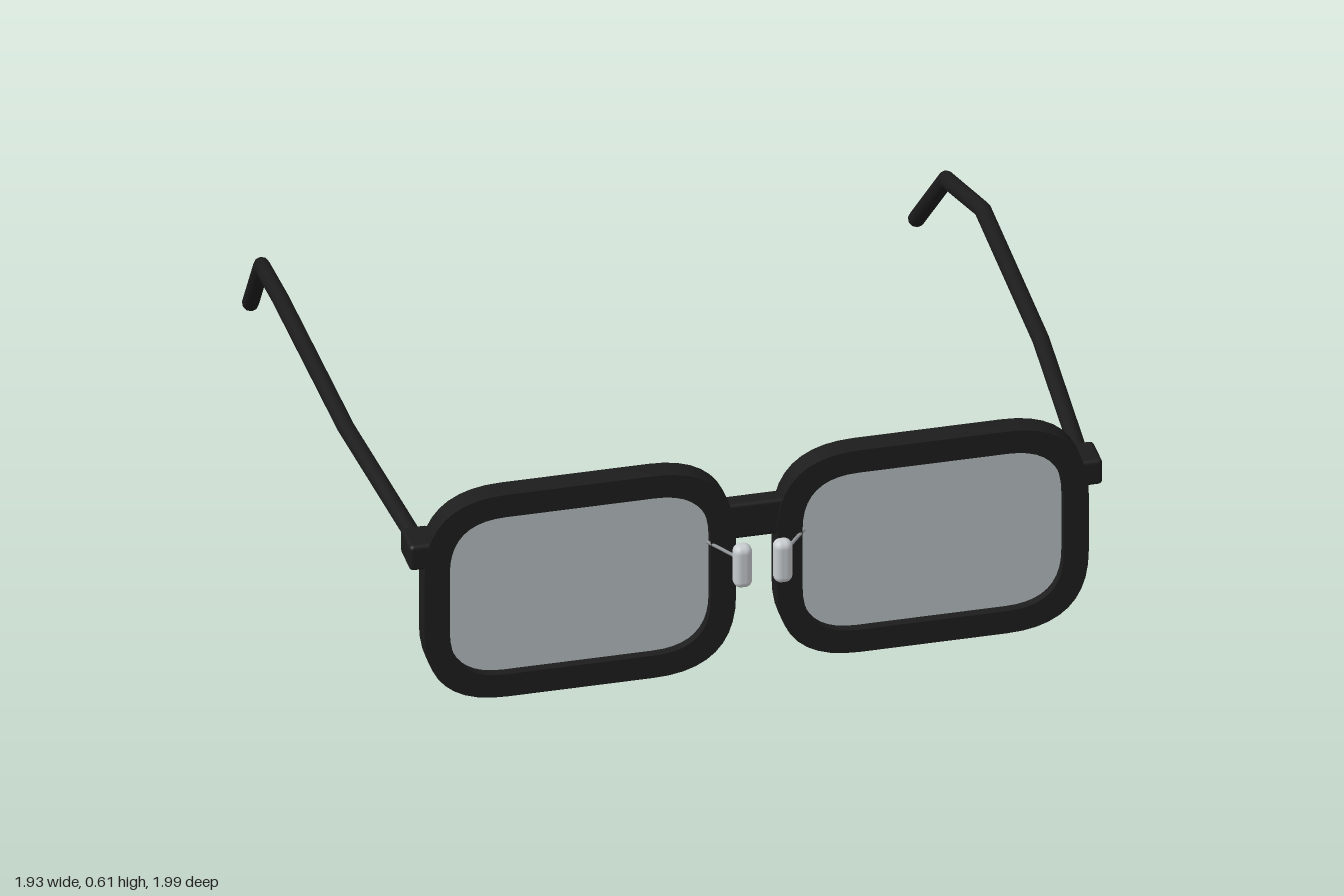
import * as THREE from 'three';
import { toCreasedNormals } from 'three/addons/utils/BufferGeometryUtils.js';
import { RoundedBoxGeometry } from 'three/addons/geometries/RoundedBoxGeometry.js';

const mat = (name, color) => new THREE.MeshStandardMaterial({ name, color });

const CX = 0.473, CY = 0.306; // centre of one lens

// Softly cornered rectangle, used for rims, rim holes and lenses
function roundedRect(target, w, h, r) {
  const x = w / 2, y = h / 2;
  target.moveTo(-x + r, -y);
  target.lineTo(x - r, -y);
  target.quadraticCurveTo(x, -y, x, -y + r);
  target.lineTo(x, y - r);
  target.quadraticCurveTo(x, y, x - r, y);
  target.lineTo(-x + r, y);
  target.quadraticCurveTo(-x, y, -x, y - r);
  target.lineTo(-x, -y + r);
  target.quadraticCurveTo(-x, -y, -x + r, -y);
  return target;
}

// Bar swept along points in the yz direction, with mitred kinks
function sweptBar(points, radius) {
  const n = points.length - 1;
  const geo = new THREE.CylinderGeometry(radius, radius, 1, 10, n);
  const dirs = points.slice(1).map((p, i) => points[i].clone().sub(p).setX(0).normalize());
  const rows = points.map((p, i) => {
    const a = dirs[Math.max(i - 1, 0)], b = dirs[Math.min(i, n - 1)];
    const t = a.clone().add(b).normalize();
    return { p, up: new THREE.Vector3(0, t.z, -t.y).divideScalar(t.dot(a)) };
  });
  const pos = geo.attributes.position;
  for (let i = 0; i < pos.count; i++) {
    const { p, up } = rows[Math.round((0.5 - pos.getY(i)) * n)];
    const across = pos.getX(i), down = pos.getZ(i);
    pos.setXYZ(i, p.x + across, p.y - up.y * down, p.z - up.z * down);
  }
  return toCreasedNormals(geo, 0.7);
}

export function createModel() {
  const black = mat('black frame', 0x1c1c1c);
  const glass = mat('grey lens', 0xb4bcbe);
  const padWhite = mat('pale pad', 0xc8cccf);
  const metal = mat('wire metal', 0x909498);

  const model = new THREE.Group();
  model.name = 'glasses';
  const add = (name, geo, material, x = 0, y = 0, z = 0) => {
    const mesh = new THREE.Mesh(geo, material);
    mesh.name = name;
    mesh.position.set(x, y, z);
    model.add(mesh);
  };

  // Shared rim and lens geometry
  const rimShape = roundedRect(new THREE.Shape(), 0.835, 0.612, 0.22);
  rimShape.holes.push(roundedRect(new THREE.Path(), 0.7, 0.477, 0.15));
  const rimGeo = toCreasedNormals(
    new THREE.ExtrudeGeometry(rimShape, { depth: 0.065, bevelEnabled: false, curveSegments: 10 }), 0.6);
  const lensShape = roundedRect(new THREE.Shape(), 0.72, 0.497, 0.155);
  const lensGeo = new THREE.ExtrudeGeometry(lensShape, { depth: 0.012, bevelEnabled: false, curveSegments: 10 });

  for (const s of [1, -1]) {
    const side = s > 0 ? 'left' : 'right';
    add(side + 'Rim', rimGeo, black, s * CX, CY, 0.848);
    add(side + 'Lens', lensGeo, glass, s * CX, CY, 0.875);

    // Hinge block at the outer edge
    add(side + 'Hinge', new RoundedBoxGeometry(0.075, 0.075, 0.108, 2, 0.012), black, s * 0.892, 0.45, 0.857);

    // Temple arm, bowed outwards and bent down at the ear
    const path = [[0.89, 0.452, 0.83], [0.932, 0.452, 0.22], [0.942, 0.452, -0.455],
      [0.918, 0.373, -0.755], [0.893, 0.125, -0.98]]
      .map(([x, y, z]) => new THREE.Vector3(s * x, y, z));
    add(side + 'Temple', sweptBar(path, 0.0225), black);

    // Nose pad on its bent wire
    add(side + 'NosePad', new RoundedBoxGeometry(0.05, 0.125, 0.046, 4, 0.02), padWhite, s * 0.054, 0.347, 0.975);
    const wire = new THREE.QuadraticBezierCurve3(
      new THREE.Vector3(s * 0.06, 0.362, 0.965),
      new THREE.Vector3(s * 0.09, 0.372, 0.935),
      new THREE.Vector3(s * 0.13, 0.385, 0.9));
    add(side + 'PadWire', new THREE.TubeGeometry(wire, 8, 0.005, 6), metal);
  }

  // Bridge joining the rims
  add('bridge', new RoundedBoxGeometry(0.16, 0.104, 0.054, 2, 0.01), black, 0, 0.436, 0.879);

  return model;
}
